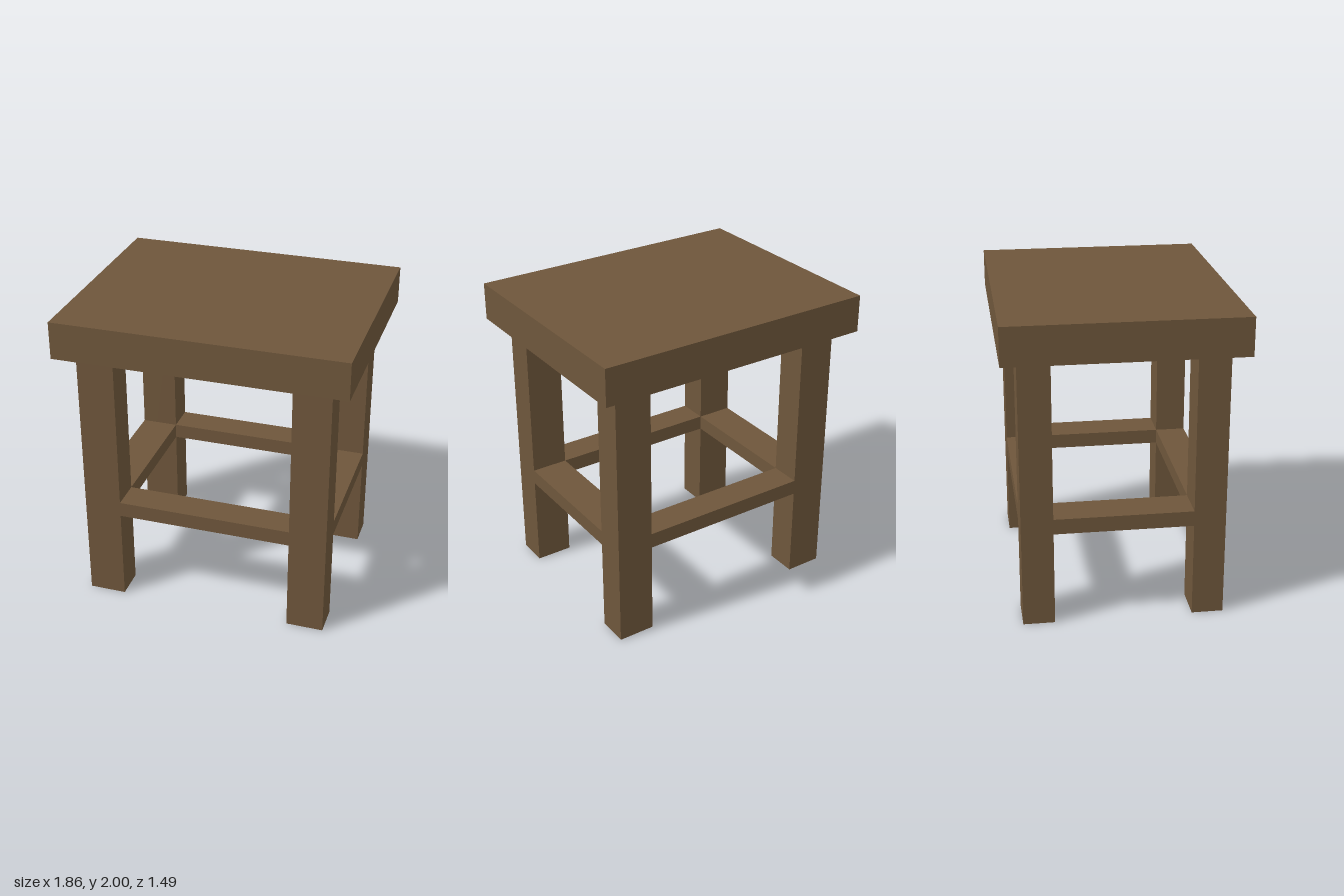
import * as THREE from 'three';

export function createModel() {
  const model = new THREE.Group();
  model.name = 'stool';
  const wood = new THREE.MeshStandardMaterial({ color: 0x6e563b });
  wood.name = 'brown wood';

  // Box given by its size and the centre of its underside
  const addBox = (name, [w, h, d], [x, y, z]) => {
    const mesh = new THREE.Mesh(new THREE.BoxGeometry(w, h, d), wood);
    mesh.name = name;
    mesh.position.set(x, y + h / 2, z);
    model.add(mesh);
  };

  const seatBottom = 1.757;
  const legW = 0.241, legD = 0.202;   // leg section
  const legX = 0.688, legZ = 0.542;   // leg centres
  const railY = 0.62, railH = 0.1;

  // Seat slab
  addBox('seat', [1.857, 2 - seatBottom, 1.488], [0, seatBottom, 0]);

  // Four legs
  for (const [side, sx] of [['Left', 1], ['Right', -1]]) {
    for (const [end, sz] of [['front', 1], ['back', -1]]) {
      addBox(`${end}${side}Leg`, [legW, seatBottom, legD], [sx * legX, 0, sz * legZ]);
    }
  }

  // Stretchers between the legs, flush with them on both sides
  for (const [end, sz] of [['front', 1], ['back', -1]]) {
    addBox(`${end}Stretcher`, [2 * legX - legW, railH, legD], [0, railY, sz * legZ]);
  }
  for (const [side, sx] of [['left', 1], ['right', -1]]) {
    addBox(`${side}Stretcher`, [legW, railH, 2 * legZ - legD], [sx * legX, railY, 0]);
  }

  return model;
}
